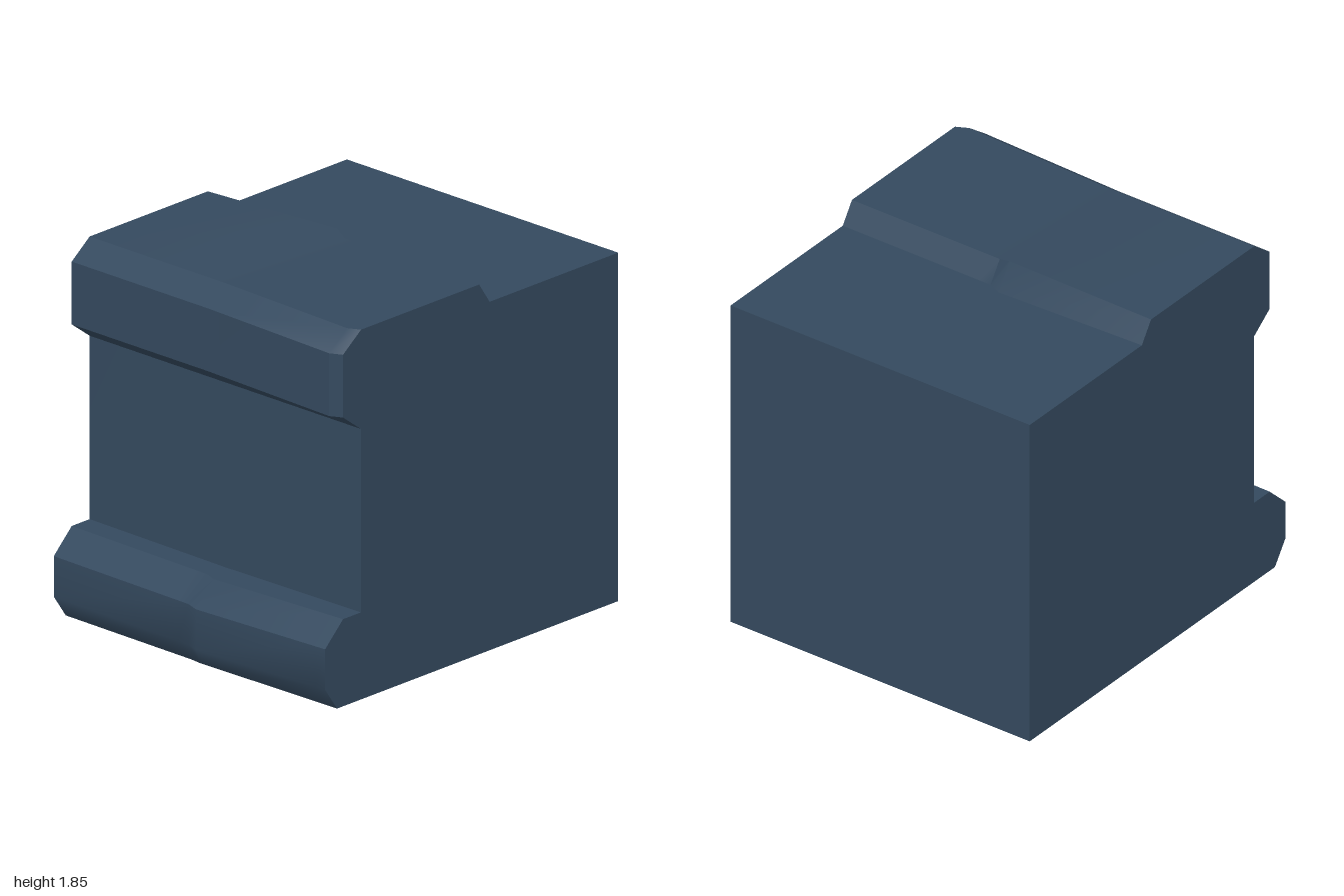
import * as THREE from 'three';
import { toCreasedNormals } from 'three/addons/utils/BufferGeometryUtils.js';

// Stations across the width; the profile shifts slightly from one to the next
const XS = [-0.86, -0.06, 0.01, 0.08, 0.80, 0.86];
const LOWER_FOOT = [0.88, 0.888, 0.895, 0.893, 0.881, 0.88];
const LOWER_LIP = [0.96, 0.974, 0.976, 1.0, 0.963, 0.96];
const RECESS = [0.72, 0.733, 0.735, 0.733, 0.721, 0.72];
const UPPER_LIP = [0.84, 0.84, 0.84, 0.843, 0.87, 0.84];
const CREST_Z = [-0.07, -0.09, -0.07, -0.07, -0.07, -0.07];
const CREST_Y = [1.825, 1.85, 1.825, 1.825, 1.825, 1.825];
const STEP_Z = [-0.14, -0.17, -0.14, -0.14, -0.14, -0.14];

// Side profile [z, y] at station i: along the bottom, up the front, back over the top
const profile = (i) => [
  [-1, 0],
  [LOWER_FOOT[i], 0],
  [LOWER_LIP[i], 0.115],
  [LOWER_LIP[i], 0.315],
  [LOWER_LIP[i] - 0.12, 0.43],
  [RECESS[i], 0.43],
  [0.72, 1.335],
  [UPPER_LIP[i], 1.425],
  [UPPER_LIP[i], 1.735],
  [UPPER_LIP[i] - 0.12, 1.825],
  [CREST_Z[i], CREST_Y[i]],
  [STEP_Z[i], 1.72],
  [-1, 1.72],
  [-1, 0],
];

// Strip of surface between two profile points, spanning the full width
function band(from, to) {
  const pos = [], index = [], rows = to - from + 1;
  XS.forEach((x, i) => profile(i).slice(from, to + 1).forEach(([z, y]) => pos.push(x, y, z)));
  for (let i = 0; i < XS.length - 1; i++) {
    for (let j = 0; j < rows - 1; j++) {
      const a = i * rows + j, b = a + rows;
      index.push(a, b, b + 1, a, b + 1, a + 1);
    }
  }
  const g = new THREE.BufferGeometry();
  g.setAttribute('position', new THREE.Float32BufferAttribute(pos, 3));
  g.setIndex(index);
  g.computeVertexNormals();
  return g;
}

// Flat end wall; side is +1 or -1
function endWall(side) {
  const outline = profile(side > 0 ? XS.length - 1 : 0).slice(0, -1);
  const shape = new THREE.Shape(outline.map(([z, y]) => new THREE.Vector2(-side * z, y)));
  return new THREE.ShapeGeometry(shape).rotateY(side * Math.PI / 2).translate(side * 0.86, 0, 0);
}

export function createModel() {
  const group = new THREE.Group();
  const slate = new THREE.MeshStandardMaterial({ color: 0x34495e });
  slate.name = 'slateBlue';
  const add = (name, geometry) => {
    const mesh = new THREE.Mesh(geometry, slate);
    mesh.name = name;
    group.add(mesh);
  };

  // The lower lip front rolls softly into its underside
  add('lowerLipFront', band(1, 3));

  // All other strips meet at sharp edges
  const strips = [
    ['bottom', 0], ['lowerLipBevel', 3], ['lowerLipTop', 4], ['recessWall', 5],
    ['upperLipUnderside', 6], ['upperLipFront', 7], ['upperLipBevel', 8],
    ['raisedTop', 9], ['topStep', 10], ['rearTop', 11], ['backWall', 12],
  ];
  for (const [name, j] of strips) add(name, toCreasedNormals(band(j, j + 1), 0.4));

  add('leftWall', endWall(1));
  add('rightWall', endWall(-1));
  return group;
}
